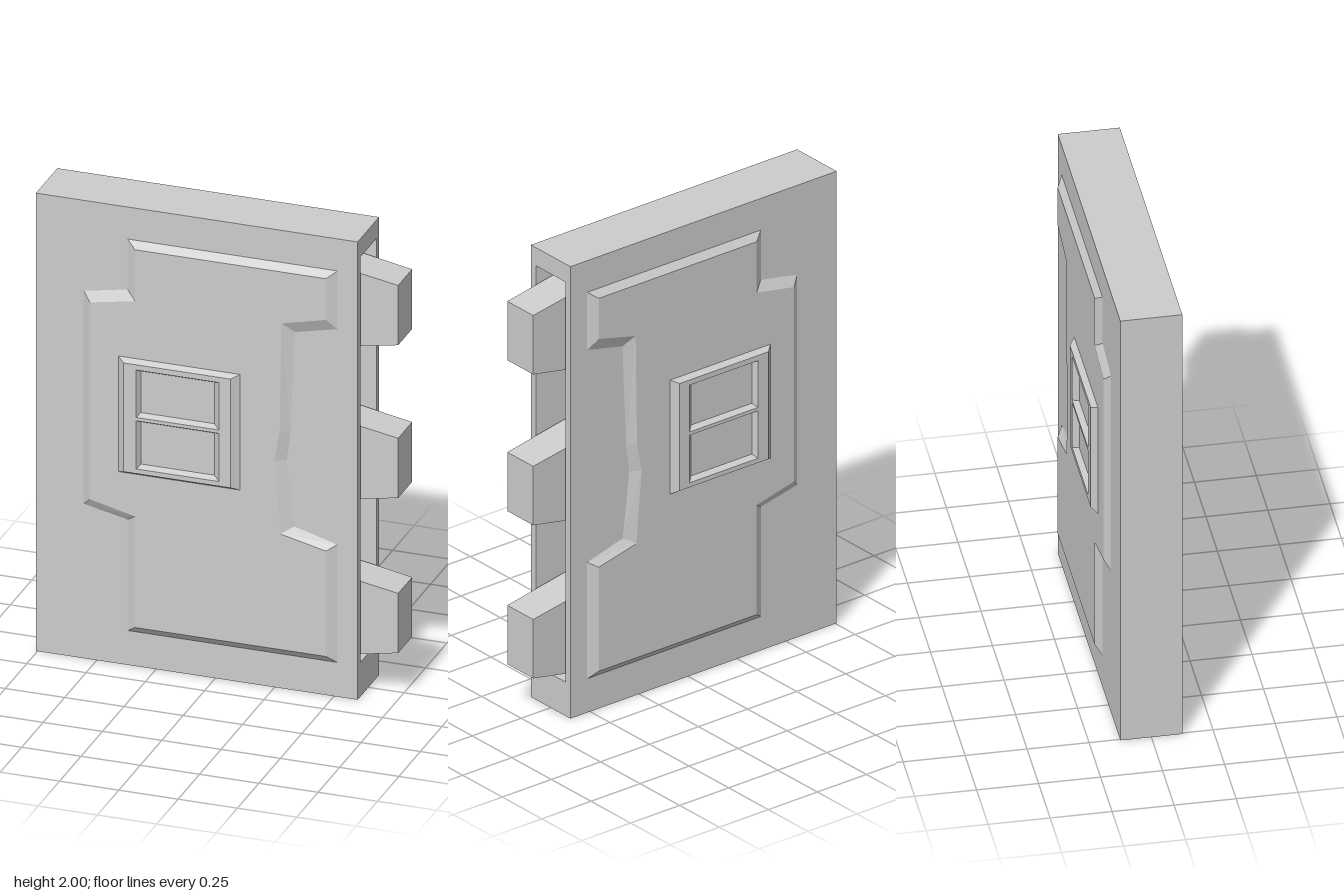
import * as THREE from 'three';
import { mergeGeometries } from 'three/addons/utils/BufferGeometryUtils.js';

const material = new THREE.MeshStandardMaterial({ color: 0xcccccc, flatShading: true });

function addMesh(parent, name, geometry) {
  const mesh = new THREE.Mesh(geometry, material);
  mesh.name = name;
  parent.add(mesh);
  return mesh;
}

// Sloped wall between two matching loops of [x, y] points at heights z0 and z1
function slopedWall(low, high, z0, z1) {
  const pos = [];
  low.forEach((a, i) => {
    const j = (i + 1) % low.length;
    const A = [...a, z0], B = [...low[j], z0], C = [...high[j], z1], D = [...high[i], z1];
    pos.push(...A, ...B, ...C, ...A, ...C, ...D);
  });
  const g = new THREE.BufferGeometry();
  g.setAttribute('position', new THREE.Float32BufferAttribute(pos, 3));
  return g;
}

// Flat face with optional holes at height z
function flatFace(outline, holes, z) {
  const toPoints = (loop) => loop.map(([x, y]) => new THREE.Vector2(x, y));
  const shape = new THREE.Shape(toPoints(outline));
  holes.forEach((h) => shape.holes.push(new THREE.Path(toPoints(h))));
  const g = new THREE.ShapeGeometry(shape).toNonIndexed();
  g.deleteAttribute('normal');
  g.deleteAttribute('uv');
  return g.translate(0, 0, z);
}

// Raised plate with bevelled rim; recesses are { floor, rim } loops running clockwise.
// side = -1 mirrors it onto the back of the door.
function raisedPlate(low, high, z0, z1, side, recesses = []) {
  const g = mergeGeometries([
    slopedWall(low, high, z0, z1),
    flatFace(high, recesses.map((r) => r.rim), z1),
    ...recesses.map((r) => slopedWall(r.floor, r.rim, z0, z1)),
  ]);
  if (side < 0) {
    g.scale(1, 1, -1);
    const p = g.attributes.position.array;
    for (let i = 0; i < p.length; i += 9) {
      for (let k = 0; k < 3; k++) [p[i + 3 + k], p[i + 6 + k]] = [p[i + 6 + k], p[i + 3 + k]];
    }
  }
  g.computeVertexNormals();
  return g;
}

const rect = (x0, y0, x1, y1) => [[x0, y0], [x1, y0], [x1, y1], [x0, y1]];

export function createModel() {
  const door = new THREE.Group();
  door.name = 'door';
  const half = 0.125, left = -0.757, socket = 0.43, edge = 0.6;

  // Solid part of the slab
  const core = new THREE.BoxGeometry(socket - left, 2, half * 2);
  addMesh(door, 'slab', core).position.set((left + socket) / 2, 1, 0);

  // Hollow edge that holds the locking teeth
  const rim = new THREE.Shape(rect(-half, 0, half, 2).map((p) => new THREE.Vector2(...p)));
  rim.holes.push(new THREE.Path(rect(-0.093, 0.15, 0.093, 1.92).map((p) => new THREE.Vector2(...p))));
  const rimGeometry = new THREE.ExtrudeGeometry(rim, { depth: edge - socket, bevelEnabled: false });
  addMesh(door, 'edgeSocket', rimGeometry.rotateY(Math.PI / 2)).position.x = socket;

  // Tapered locking teeth
  for (const y of [0.34, 1.0175, 1.685]) {
    const tooth = new THREE.BoxGeometry(0.325, 0.378, 0.17);
    const p = tooth.attributes.position;
    for (let i = 0; i < p.count; i++) {
      if (p.getX(i) > 0) {
        p.setY(i, p.getY(i) * 0.69);
        p.setZ(i, p.getZ(i) * 0.96);
      }
    }
    tooth.computeVertexNormals();
    addMesh(door, 'lockingTooth', tooth).position.set(socket + 0.1625, y, 0);
  }

  // Stepped panel outline, counter-clockwise from the lower left
  const panelLow = [
    [-0.37, 0.15], [0.515, 0.15], [0.515, 0.665], [0.333, 0.715], [0.3, 1.0], [0.317, 1.12],
    [0.335, 1.565], [0.515, 1.605], [0.515, 1.86], [-0.37, 1.86], [-0.37, 1.64],
    [-0.555, 1.605], [-0.555, 0.675], [-0.37, 0.635],
  ];
  const panelHigh = [
    [-0.33, 0.18], [0.475, 0.18], [0.475, 0.64], [0.283, 0.685], [0.257, 1.0], [0.28, 1.13],
    [0.287, 1.605], [0.475, 1.65], [0.475, 1.83], [-0.33, 1.83], [-0.33, 1.605],
    [-0.52, 1.57], [-0.52, 0.71], [-0.33, 0.665],
  ];
  // Two sunken panes of the window frame
  const panes = [[0.885, 1.095], [1.11, 1.317]].map(([y0, y1]) => ({
    rim: rect(-0.317, y0, 0.032, y1).reverse(),
    floor: rect(-0.305, y0 + 0.013, 0.005, y1 - 0.013).reverse(),
  }));

  for (const side of [1, -1]) {
    const name = side > 0 ? 'front' : 'back';
    addMesh(door, name + 'Panel', raisedPlate(panelLow, panelHigh, half, 0.149, side));
    addMesh(door, name + 'Window', raisedPlate(
      rect(-0.4, 0.85, 0.112, 1.355), rect(-0.37, 0.865, 0.082, 1.34), 0.149, 0.173, side, panes));
  }
  return door;
}
